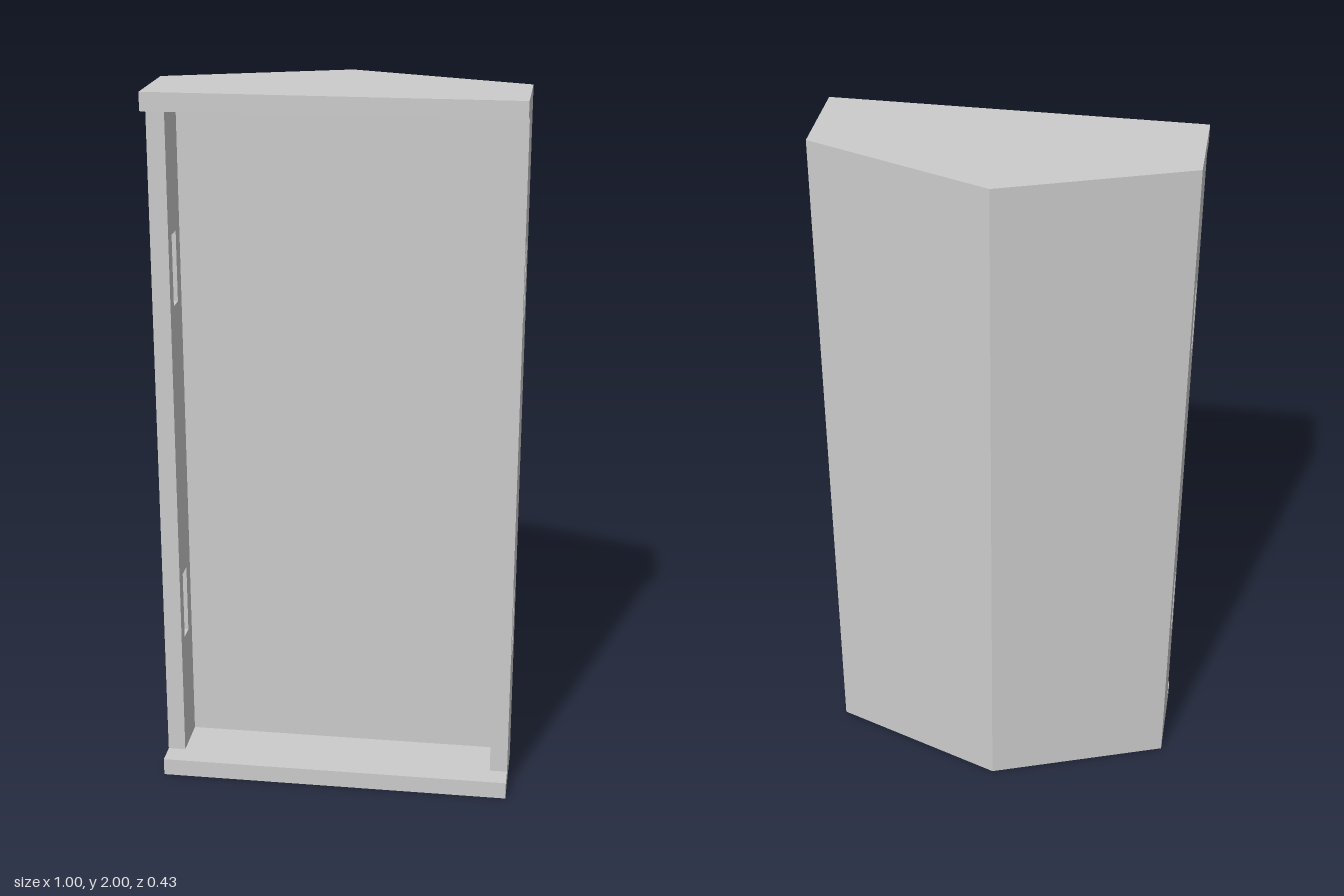
import * as THREE from 'three';

const HEIGHT = 2, HALF = 0.5, WALL = 0.05;
const FRONT = 0.215, SIDE_FRONT = 0.15, SIDE_BACK = -0.035, RIDGE = -0.215;

const polygon = (points) => new THREE.Shape(points.map(([x, y]) => new THREE.Vector2(x, y)));

export function createModel() {
  const group = new THREE.Group();
  const material = new THREE.MeshStandardMaterial({ color: 0xcccccc, flatShading: true });
  const add = (name, geometry, x = 0, y = 0, z = 0) => {
    const mesh = new THREE.Mesh(geometry, material);
    mesh.name = name;
    mesh.position.set(x, y, z);
    group.add(mesh);
  };

  // Ridged back: a full-height triangular prism
  const back = new THREE.ExtrudeGeometry(
    polygon([[-HALF, -SIDE_BACK], [HALF, -SIDE_BACK], [0, -RIDGE]]),
    { depth: HEIGHT, bevelEnabled: false });
  back.rotateX(-Math.PI / 2);
  add('ridgedBack', back);

  // Side walls: stepped in between the end lips, with two slots each
  const profile = polygon([
    [SIDE_BACK, 0], [FRONT, 0], [FRONT, WALL], [SIDE_FRONT, WALL],
    [SIDE_FRONT, HEIGHT - WALL], [FRONT, HEIGHT - WALL], [FRONT, HEIGHT], [SIDE_BACK, HEIGHT],
  ]);
  for (const y of [0.4, 1.4]) {
    profile.holes.push(polygon([[0.06, y], [0.06, y + 0.2], [0.11, y + 0.2], [0.11, y]]));
  }
  const side = new THREE.ExtrudeGeometry(profile, { depth: WALL, bevelEnabled: false });
  side.rotateY(-Math.PI / 2);
  add('leftSideWall', side, HALF);
  add('rightSideWall', side, -HALF + WALL);

  // Flat inner panel
  const innerWidth = 2 * (HALF - WALL);
  add('innerPanel', new THREE.BoxGeometry(innerWidth, HEIGHT - 2 * WALL, WALL),
    0, HEIGHT / 2, SIDE_BACK + WALL / 2);

  // End plates between the side walls
  const plate = new THREE.BoxGeometry(innerWidth, WALL, FRONT - SIDE_BACK);
  const plateZ = (FRONT + SIDE_BACK) / 2;
  add('bottomPlate', plate, 0, WALL / 2, plateZ);
  add('topPlate', plate, 0, HEIGHT - WALL / 2, plateZ);

  return group;
}
